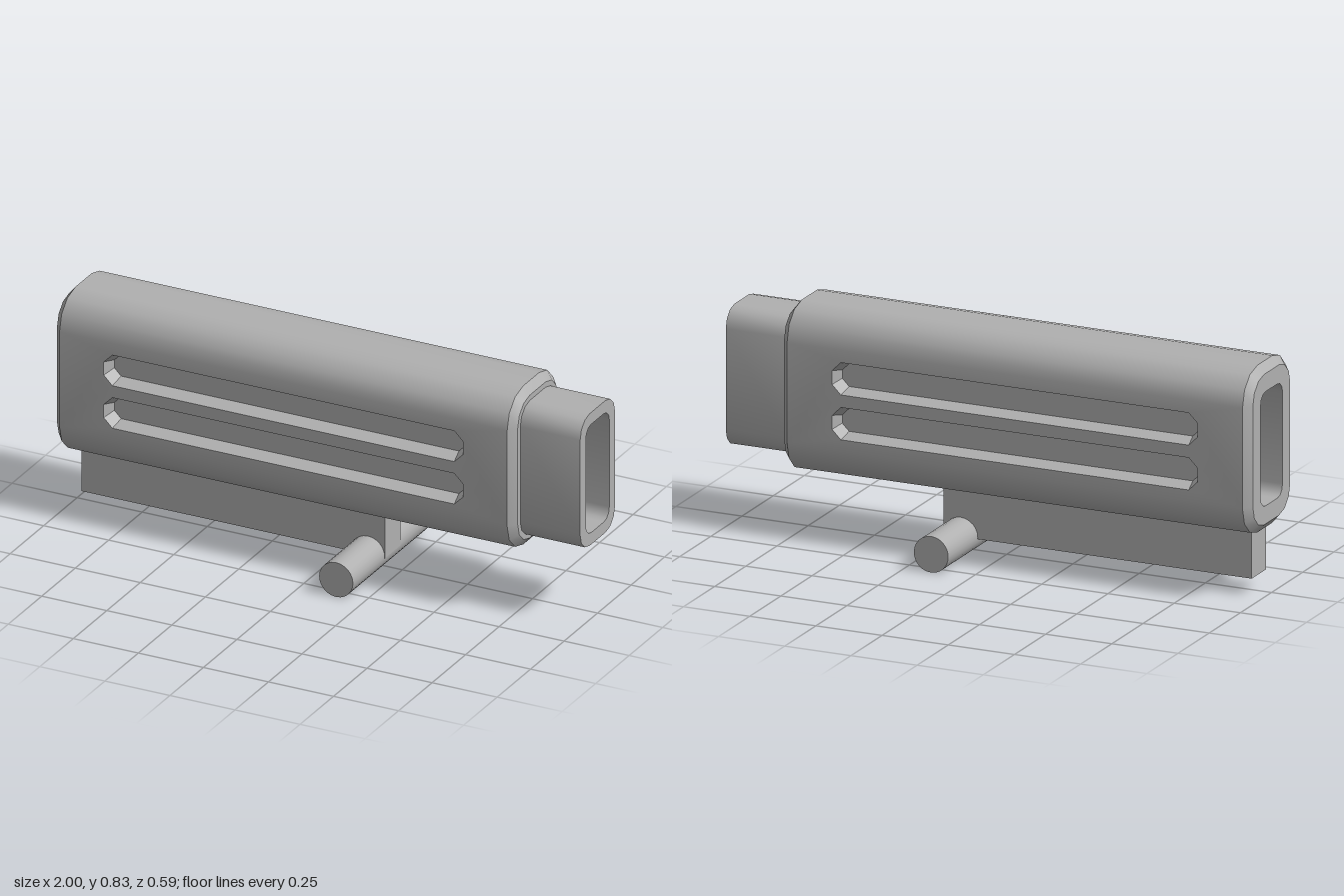
import * as THREE from 'three';
import { mergeGeometries, toCreasedNormals } from 'three/addons/utils/BufferGeometryUtils.js';

const CREASE = 0.6;
const MID_Y = 0.53;

// Rounded-rectangle ring in the yz plane at a given x (half sizes and corner radius)
function ring(x, halfZ, halfY, radius, segments = 3) {
  const points = [];
  for (let corner = 0; corner < 4; corner++) {
    const sz = corner === 0 || corner === 3 ? 1 : -1;
    const sy = corner < 2 ? 1 : -1;
    for (let i = 0; i <= segments; i++) {
      const a = (corner + i / segments) * Math.PI / 2;
      points.push(new THREE.Vector3(x,
        MID_Y + sy * (halfY - radius) + Math.sin(a) * radius,
        sz * (halfZ - radius) + Math.cos(a) * radius));
    }
  }
  return points;
}

// Joins successive closed rings with quads; skip(i, j) leaves a quad open
function loft(rings, skip = () => false) {
  const corners = [];
  for (let i = 0; i < rings.length - 1; i++) {
    const n = rings[i].length;
    for (let j = 0; j < n; j++) {
      if (skip(i, j)) continue;
      const a = rings[i][j], b = rings[i][(j + 1) % n];
      const c = rings[i + 1][j], d = rings[i + 1][(j + 1) % n];
      corners.push(a, c, b, b, c, d);
    }
  }
  return new THREE.BufferGeometry().setFromPoints(corners);
}

// Flat shape reduced to bare positions so it can be merged with lofts
function plate(shape, z) {
  const geometry = new THREE.ShapeGeometry(shape).toNonIndexed();
  geometry.deleteAttribute('uv');
  geometry.deleteAttribute('normal');
  return geometry.translate(0, 0, z);
}

// Long octagonal slot outline, counter-clockwise
function slotOutline(y, halfX, halfY, cut) {
  return [
    [-halfX + cut, -halfY], [halfX - cut, -halfY], [halfX, -halfY + cut], [halfX, halfY - cut],
    [halfX - cut, halfY], [-halfX + cut, halfY], [-halfX, halfY - cut], [-halfX, -halfY + cut],
  ].map(([px, py]) => new THREE.Vector2(px, y + py));
}

// Flat side wall with two recessed slots
function sidePanel() {
  const panel = new THREE.Shape([[-0.86, 0.35], [0.86, 0.35], [0.86, 0.71], [-0.86, 0.71]]
    .map(([x, y]) => new THREE.Vector2(x, y)));
  const parts = [];
  for (const y of [0.447, 0.608]) {
    const rim = slotOutline(y, 0.69, 0.058, 0.033);
    const floor = slotOutline(y, 0.675, 0.041, 0.026);
    const at = (points, z) => points.map(p => new THREE.Vector3(p.x, p.y, z));
    panel.holes.push(new THREE.Path(rim));
    parts.push(loft([at(floor, 0.13), at(rim, 0.18)]), plate(new THREE.Shape(floor), 0.13));
  }
  parts.push(plate(panel, 0.18));
  return mergeGeometries(parts);
}

export function createModel() {
  const model = new THREE.Group();
  const grey = new THREE.MeshStandardMaterial({ color: 0xb0b0b0 });
  grey.name = 'plainGrey';

  const add = (name, geometry) => {
    const mesh = new THREE.Mesh(geometry, grey);
    mesh.name = name;
    model.add(mesh);
    return mesh;
  };

  const bore = x => ring(x, 0.088, 0.205, 0.04);
  const tube = x => ring(x, 0.13, 0.25, 0.07);

  // Housing with bevelled ends; its long flat sides are the slotted panels
  const shell = loft([
    bore(-1),
    ring(-1, 0.15, 0.27, 0.09),
    ring(-0.975, 0.18, 0.3, 0.12),
    ring(0.745, 0.18, 0.3, 0.12),
    ring(0.77, 0.15, 0.27, 0.09),
    tube(0.77),
  ], (i, j) => i === 2 && (j === 7 || j === 15));
  const left = sidePanel().translate(-0.115, 0, 0);
  const right = sidePanel().rotateY(Math.PI).translate(-0.115, 0, 0);
  add('housing', toCreasedNormals(mergeGeometries([shell, left, right]), CREASE));

  // Protruding inner tube and the bore running through the whole length
  add('innerTube', toCreasedNormals(loft([tube(0.77), tube(1), bore(1), bore(-1)]), CREASE));

  // Rail below the housing
  add('rail', new THREE.BoxGeometry(1.165, 0.18, 0.116)).position.set(-0.37, 0.15, 0);

  // Cross pin
  const pin = add('crossPin', new THREE.CylinderGeometry(0.065, 0.065, 0.59, 24));
  pin.rotation.x = Math.PI / 2;
  pin.position.set(0.147, 0.065, 0);

  return model;
}
